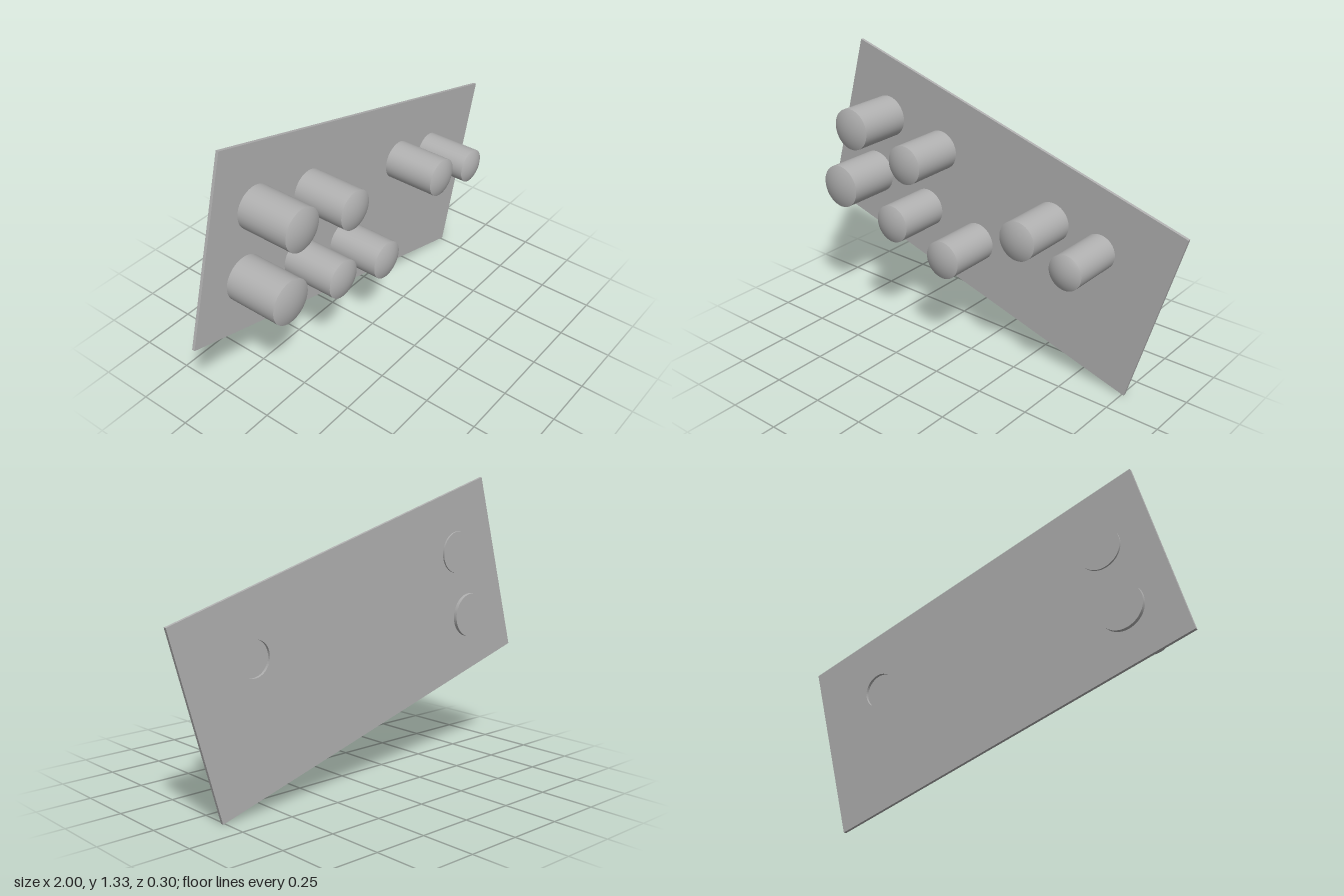
import * as THREE from 'three';

export function createModel() {
  const model = new THREE.Group();
  const grey = new THREE.MeshStandardMaterial({ color: 0xb0b0b0 });
  grey.name = 'grey';

  const plateBack = -0.135, plateFront = -0.121;
  const shoulder = 0.129, domeHeight = 0.022;

  // Pegs: centre x, centre y, radius, z of the rear end
  const pegs = [
    [-0.603, 0.993, 0.098, -0.143],
    [-0.28, 0.90, 0.091, plateBack],
    [-0.692, 0.688, 0.103, -0.152],
    [-0.365, 0.589, 0.09, plateBack],
    [-0.063, 0.50, 0.09, plateBack],
    [0.347, 0.721, 0.09, plateBack],
    [0.593, 0.655, 0.08, -0.122],
  ];

  // Slanted thin plate, drilled for every peg
  const outline = new THREE.Shape([
    [-1, 0.507], [0.761, 0.003], [1, 0.832], [-0.764, 1.335],
  ].map(([x, y]) => new THREE.Vector2(x, y)));
  for (const [x, y, r] of pegs) {
    outline.holes.push(new THREE.Path().absarc(x, y, r, 0, Math.PI * 2, true));
  }
  const plateGeometry = new THREE.ExtrudeGeometry(outline, {
    depth: plateFront - plateBack, bevelEnabled: false, curveSegments: 24,
  });
  const plate = new THREE.Mesh(plateGeometry, grey);
  plate.name = 'plate';
  plate.position.z = plateBack;
  model.add(plate);

  // Round pegs with shallow domed fronts
  pegs.forEach(([x, y, r, back], i) => {
    const peg = new THREE.Group();
    peg.name = `peg${i + 1}`;
    peg.position.set(x, y, 0);

    const length = shoulder - back;
    const barrel = new THREE.Mesh(
      new THREE.CylinderGeometry(r, r, length, 48).rotateX(Math.PI / 2), grey);
    barrel.name = 'barrel';
    barrel.position.z = back + length / 2;

    const R = (r * r + domeHeight * domeHeight) / (2 * domeHeight);
    const dome = new THREE.Mesh(
      new THREE.SphereGeometry(R, 48, 8, 0, Math.PI * 2, 0, Math.asin(r / R))
        .rotateX(Math.PI / 2), grey);
    dome.name = 'dome';
    dome.position.z = shoulder + domeHeight - R;

    peg.add(barrel, dome);
    model.add(peg);
  });

  return model;
}
